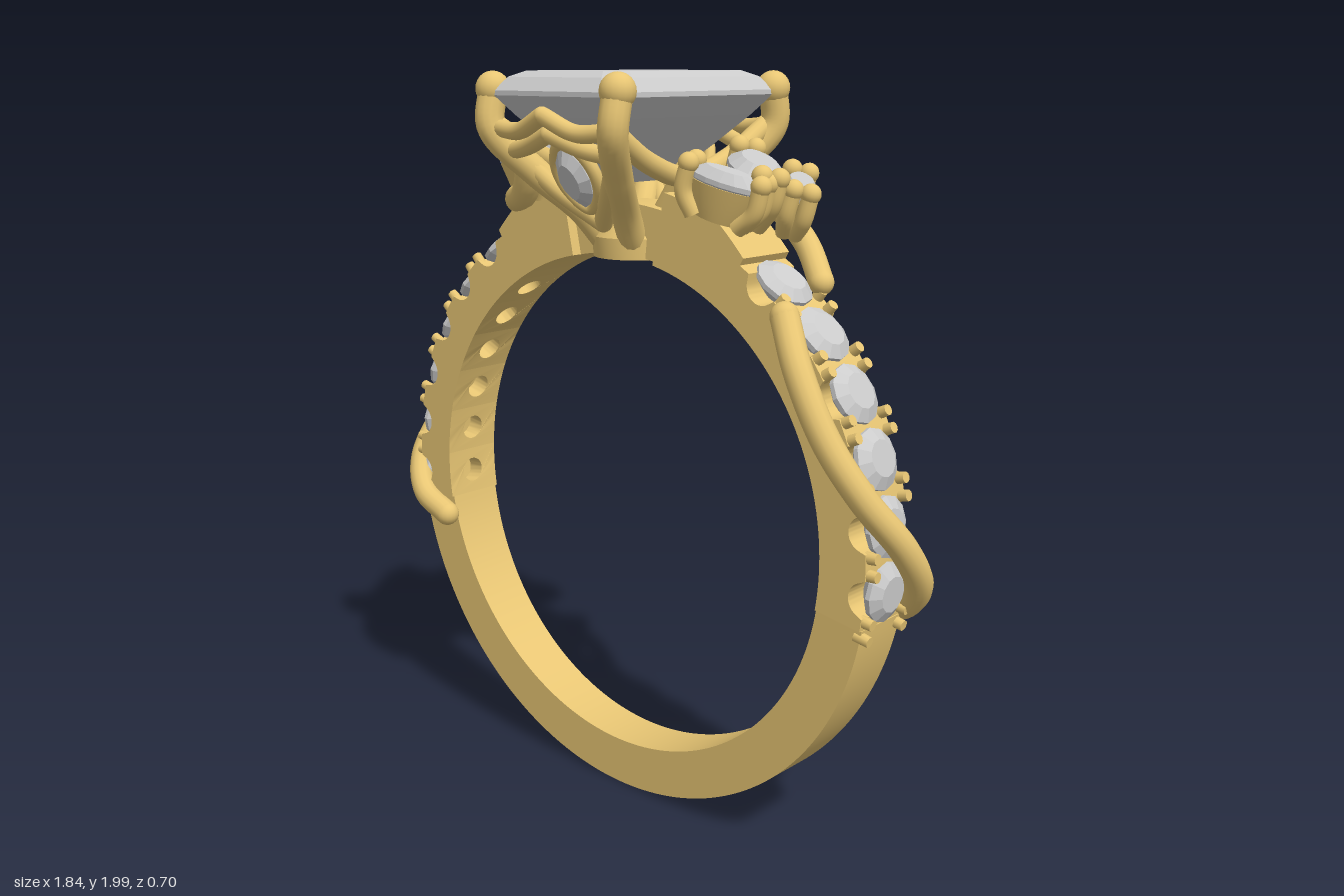
import * as THREE from 'three';
import { toCreasedNormals } from 'three/addons/utils/BufferGeometryUtils.js';

const gold = new THREE.MeshStandardMaterial({ color: 0xe8c674 });
const gemMat = new THREE.MeshStandardMaterial({ color: 0xcccccc, flatShading: true });
const V = (p) => new THREE.Vector3(...p);
const RAD = Math.PI / 180;
const CY = 0.84, R_IN = 0.695, R_OUT = 0.83;          // band centre height and radii
const STEP = 11.3, FIRST = 53, COUNT = 6;             // shoulder stones, in degrees
const LOW = FIRST - STEP * (COUNT - 0.5), HIGH = FIRST + STEP / 2;

function add(parent, name, geo, mat = gold) {
  const m = new THREE.Mesh(geo, mat);
  m.name = name;
  parent.add(m);
  return m;
}

// Round wire through points, with rounded ends
function wire(parent, name, pts, r, ends = [r, r]) {
  const g = new THREE.Group();
  g.name = name;
  parent.add(g);
  const curve = new THREE.CatmullRomCurve3(pts.map(V));
  add(g, name + 'Wire', new THREE.TubeGeometry(curve, pts.length * 8, r, 14));
  ends.forEach((er, i) => {
    if (er) add(g, name + 'Tip', new THREE.SphereGeometry(er, 18, 12)).position.set(...pts[i ? pts.length - 1 : 0]);
  });
  return g;
}

// Closed skin over rings of points [x, z], stacked from bottom to top
function loft(rings) {
  const pos = [], n = rings[0].pts.length;
  const at = (k, i) => { const p = rings[k].pts[i % n]; return [p[0], rings[k].y, p[1]]; };
  const last = rings.length - 1;
  for (let i = 0; i < n; i++) {
    for (let k = 0; k < last; k++) {
      const a = at(k, i), b = at(k, i + 1), c = at(k + 1, i + 1), d = at(k + 1, i);
      pos.push(...a, ...b, ...c, ...a, ...c, ...d);
    }
    pos.push(...at(last, i), ...at(last, i + 1), 0, rings[last].y, 0);
    pos.push(...at(0, i + 1), ...at(0, i), 0, rings[0].y, 0);
  }
  const g = new THREE.BufferGeometry();
  g.setAttribute('position', new THREE.Float32BufferAttribute(pos, 3));
  g.computeVertexNormals();
  return g;
}

// Outlines: pointed oval (pow > 1) or round (pow = 1), and cut-corner rectangle
const oval = (L, W, pow, n) => Array.from({ length: n }, (_, i) => {
  const a = i / n * Math.PI * 2, s = Math.sin(a);
  return [L * Math.cos(a), -W * Math.sign(s) * Math.abs(s) ** pow];
});
const octagon = (x, z, c) => [[x, z - c], [x, c - z], [x - c, -z], [c - x, -z], [-x, c - z], [-x, z - c], [c - x, z], [x - c, z]];

function ovalGem(L, W, pow, n, crown, depth) {
  const ring = (s, y) => ({ y, pts: oval(L * s, W * s, pow, n) });
  return loft([ring(0.08, -depth), ring(0.6, -depth * 0.55), ring(1, -0.008), ring(1, 0.004), ring(0.6, crown)]);
}

// Extruded slice of the band between two angles, outer radius by rule
function sector(a0, a1, rIn, rOut, half, n = 60) {
  const pts = [];
  const put = (a, r) => pts.push(new THREE.Vector2(r * Math.cos(a * RAD), r * Math.sin(a * RAD)));
  for (let i = 0; i <= n; i++) { const a = a0 + (a1 - a0) * i / n; put(a, rOut(a)); }
  for (let i = n; i >= 0; i--) put(a0 + (a1 - a0) * i / n, rIn);
  const g = new THREE.ExtrudeGeometry(new THREE.Shape(pts), { depth: 2, bevelEnabled: false });
  const p = g.attributes.position;
  for (let i = 0; i < p.count; i++) p.setZ(i, (p.getZ(i) - 1) * half(p.getY(i)));
  g.computeVertexNormals();
  return toCreasedNormals(g, 0.5);
}

// One piece of inner band with a drilled hole, bent round the finger
function drilledPiece(angle) {
  const w = STEP * RAD / 2 * R_IN, h = 0.09, n = 6, pts = [];
  for (let i = 0; i <= n; i++) pts.push(new THREE.Vector2(-w + 2 * w * i / n, -h));
  for (let i = n; i >= 0; i--) pts.push(new THREE.Vector2(-w + 2 * w * i / n, h));
  const s = new THREE.Shape(pts);
  s.holes.push(new THREE.Path().absarc(0, 0, 0.036, 0, Math.PI * 2, true));
  const g = new THREE.ExtrudeGeometry(s, { depth: 0.055, bevelEnabled: false, curveSegments: 20 });
  const p = g.attributes.position;
  for (let i = 0; i < p.count; i++) {
    const t = angle * RAD + p.getX(i) / R_IN, r = R_IN + p.getZ(i);
    p.setXYZ(i, r * Math.cos(t), r * Math.sin(t), p.getY(i));
  }
  g.computeVertexNormals();
  return toCreasedNormals(g, 0.5);
}

// Scalloped shoulder with its row of round stones
function shoulder() {
  const g = new THREE.Group();
  g.name = 'stoneShoulder';
  const scallop = (a) => {
    const i = Math.min(COUNT - 1, Math.max(0, Math.round((FIRST - a) / STEP)));
    const d = (a - FIRST + i * STEP) * RAD * 0.82;
    return 0.828 - Math.sqrt(Math.max(0, 0.045 ** 2 - d * d));
  };
  add(g, 'scallopedWall', sector(LOW, HIGH, 0.748, scallop, () => 0.09, 180));
  for (let i = 0; i < COUNT; i++) {
    const a = FIRST - i * STEP;
    add(g, 'drilledBand', drilledPiece(a));
    const stone = add(g, 'roundStone', ovalGem(0.077, 0.077, 1, 12, 0.022, 0.06), gemMat);
    stone.position.set(0.83 * Math.cos(a * RAD), 0.83 * Math.sin(a * RAD), 0);
    stone.rotation.z = a * RAD - Math.PI / 2;
    for (const side of [-1, 1]) for (const off of [-1.5, 1.5]) {
      const b = (a - STEP / 2 + off) * RAD;
      const bead = add(g, 'beadProng', new THREE.CylinderGeometry(0.014, 0.016, 0.04, 10));
      bead.position.set(0.832 * Math.cos(b), 0.832 * Math.sin(b), side * 0.073);
      bead.rotation.z = b - Math.PI / 2;
    }
  }
  const taperUp = (a) => R_OUT + 0.055 * Math.min(1, (a - HIGH + 4) / 12);
  add(g, 'upperShoulder', sector(HIGH, 78, R_IN, taperUp, () => 0.09, 20));
  return g;
}

// Pointed-oval stone in a tapered cup with a claw at each end
function marquise(parent, name, at, L, W, pow, yaw, tilt, cup = 0.1) {
  const g = new THREE.Group();
  g.name = name;
  g.position.set(...at);
  g.rotation.set(0, yaw, tilt, 'ZYX');
  add(g, 'stone', ovalGem(L, W, pow, 16, 0.028, 0.06), gemMat);
  const ring = (s, y) => ({ y, pts: oval(L * s, W * s, pow, 32) });
  add(g, 'cup', toCreasedNormals(loft([ring(0.6, -cup), ring(0.8, -0.06), ring(0.98, -0.012)]), 0.7));
  for (const s of [-1, 1]) for (const z of [-0.022, 0.022])
    wire(g, 'claw', [[s * L * 0.6, -cup, z * 0.6], [s * L * 0.95, -0.05, z], [s * L * 0.97, 0.02, z]], 0.022, [0, 0.026]);
  parent.add(g);
}

// Front gallery: framed upright stone under a double chevron
function gallery() {
  const g = new THREE.Group();
  g.name = 'gallery';
  const panel = new THREE.Group();
  panel.name = 'uprightStone';
  panel.position.set(0, 1.74, 0.22);
  panel.rotation.x = 0.5;
  const gem = add(panel, 'stone', ovalGem(0.085, 0.055, 1.35, 12, 0.025, 0.05), gemMat);
  gem.rotation.set(0, Math.PI / 2, Math.PI / 2, 'YZX');
  const rim = new THREE.CatmullRomCurve3(oval(0.098, 0.066, 1.35, 28).map(([x, z]) => new THREE.Vector3(z, x, -0.01)), true);
  add(panel, 'frame', new THREE.TubeGeometry(rim, 56, 0.017, 10, true));
  g.add(panel);
  for (const s of [-1, 1]) {
    wire(g, 'upperChevron', [[s * 0.2, 1.86, 0.3], [s * 0.1, 1.855, 0.315], [0, 1.895, 0.33]], 0.022);
    wire(g, 'lowerChevron', [[s * 0.19, 1.8, 0.27], [s * 0.1, 1.815, 0.29], [0, 1.85, 0.31]], 0.022);
    wire(g, 'frameArm', [[s * 0.17, 1.79, 0.25], [s * 0.09, 1.7, 0.19], [0, 1.62, 0.12]], 0.025);
  }
  return g;
}

export function createModel() {
  const model = new THREE.Group();
  model.name = 'ring';

  // Band
  const band = new THREE.Group();
  band.name = 'band';
  band.position.y = CY;
  model.add(band);
  const width = (y) => Math.min(0.09, 0.068 + 0.022 * (y + 0.84));
  add(band, 'lowerBand', sector(180 - LOW, 360 + LOW, R_IN, () => R_OUT, width, 96));
  add(band, 'bandBridge', sector(78, 102, R_IN, () => 0.83, () => 0.06, 16));
  for (const turn of [0, Math.PI]) {
    const s = shoulder();
    s.rotation.y = turn;
    band.add(s);
  }

  // Centre stone with stepped facets
  const steps = [[0.03, 0.1, 0.01, 1.72], [0.12, 0.2, 0.03, 1.81], [0.2, 0.275, 0.045, 1.89], [0.243, 0.318, 0.055, 1.94],
    [0.243, 0.318, 0.055, 1.952], [0.215, 0.29, 0.05, 1.985], [0.18, 0.255, 0.045, 2]];
  add(model, 'centreStone', loft(steps.map(([x, z, c, y]) => ({ y, pts: octagon(x, z, c) }))), gemMat);

  // Head: hub, four claws, side rails, galleries
  const hub = [[0.03, 1.56], [0.03, 1.525], [0.11, 1.525], [0.115, 1.58], [0.085, 1.63], [0, 1.64]].map((p) => new THREE.Vector2(...p));
  hub.unshift(new THREE.Vector2(0, 1.56));
  add(model, 'hub', toCreasedNormals(new THREE.LatheGeometry(hub, 40), 0.6));
  for (const x of [-1, 1]) {
    for (const z of [-1, 1])
      wire(model, 'mainClaw', [[x * 0.05, 1.57, z * 0.06], [x * 0.08, 1.65, z * 0.12], [x * 0.15, 1.75, z * 0.22],
        [x * 0.215, 1.86, z * 0.305], [x * 0.22, 1.955, z * 0.293]], 0.038, [0.03, 0.045]);
    wire(model, 'sideRail', [[x * 0.2, 1.86, 0.29], [x * 0.19, 1.78, 0.15], [x * 0.18, 1.74, 0],
      [x * 0.19, 1.78, -0.15], [x * 0.2, 1.86, -0.29]], 0.027);
    wire(model, 'railStem', [[x * 0.18, 1.75, 0], [x * 0.12, 1.66, 0], [x * 0.06, 1.58, 0]], 0.035);
  }
  for (const turn of [0, Math.PI]) {
    const g = gallery();
    g.rotation.y = turn;
    model.add(g);
  }

  // Side stone clusters
  marquise(model, 'leftLargeStone', [0.37, 1.765, -0.045], 0.135, 0.072, 1.2, -0.65, -0.28, 0.12);
  marquise(model, 'leftBackStone', [0.43, 1.715, -0.14], 0.1, 0.05, 1.3, -0.88, -0.3);
  marquise(model, 'leftFrontStone', [0.385, 1.745, 0.09], 0.1, 0.045, 1.3, 0.3, -0.28);
  marquise(model, 'rightLargeStone', [-0.37, 1.77, 0.045], 0.135, 0.075, 1.2, -0.7, 0.2, 0.12);
  marquise(model, 'rightBackStone', [-0.395, 1.775, -0.11], 0.1, 0.047, 1.3, 0.08, 0.22);

  // Vines winding round the shoulders
  wire(model, 'rightVine', [[-0.2, 1.77, 0.19], [-0.25, 1.69, 0.16], [-0.37, 1.655, 0.08], [-0.48, 1.61, -0.06], [-0.6, 1.46, -0.165],
    [-0.71, 1.28, -0.2], [-0.81, 1.1, -0.15], [-0.88, 0.94, -0.04], [-0.875, 0.82, 0.05], [-0.8, 0.73, 0.105], [-0.69, 0.68, 0.11]], 0.036);
  wire(model, 'rightTendril', [[-0.67, 1.3, -0.16], [-0.72, 1.2, -0.155], [-0.79, 1.08, -0.12], [-0.84, 0.98, -0.07]], 0.026);
  wire(model, 'leftVine', [[0.57, 1.44, 0.09], [0.65, 1.32, 0.135], [0.74, 1.17, 0.14], [0.82, 1.04, 0.1], [0.88, 0.91, 0.01],
    [0.875, 0.8, -0.07], [0.81, 0.72, -0.11], [0.7, 0.68, -0.11]], 0.036);
  wire(model, 'leftLeaf', [[0.24, 1.74, -0.19], [0.34, 1.66, -0.18], [0.45, 1.58, -0.15], [0.55, 1.5, -0.08]], 0.032);
  return model;
}
